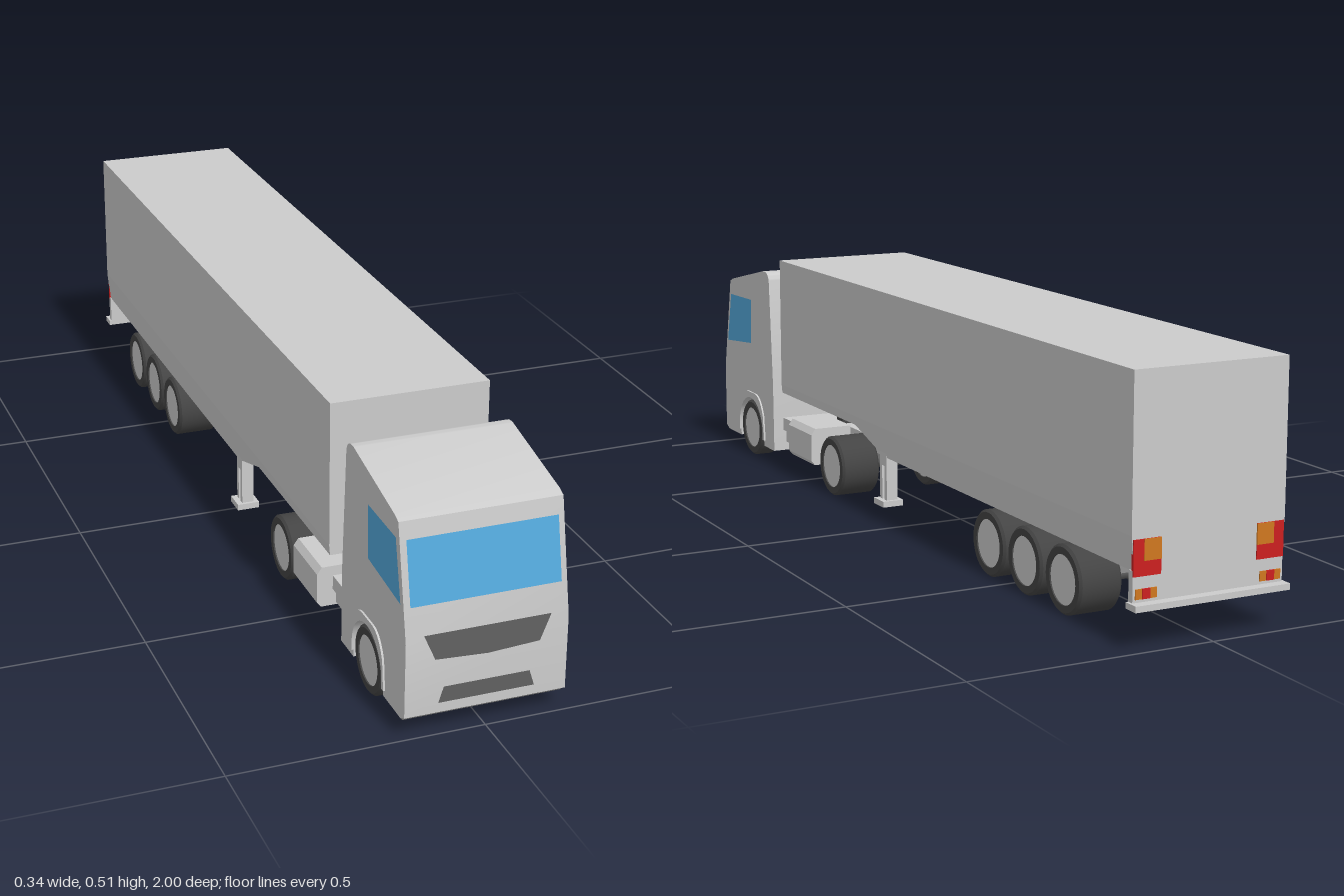
import * as THREE from 'three';
import { toCreasedNormals } from 'three/addons/utils/BufferGeometryUtils.js';

const paint = (color) => new THREE.MeshStandardMaterial({ color, side: THREE.DoubleSide });
const grey = paint(0xcccccc), dark = paint(0x606060), rubber = paint(0x444444);
const glass = paint(0x55aadd), red = paint(0xcc2020), orange = paint(0xd07820);

export function createModel() {
  const truck = new THREE.Group();
  const add = (name, geometry, material = grey, parent = truck) => {
    const mesh = new THREE.Mesh(geometry, material);
    mesh.name = name;
    parent.add(mesh);
    return mesh;
  };
  const group = (name) => {
    const g = new THREE.Group();
    g.name = name;
    truck.add(g);
    return g;
  };
  // Box from its limits on each axis
  const box = (x0, x1, y0, y1, z0, z1) =>
    new THREE.BoxGeometry(x1 - x0, y1 - y0, z1 - z0)
      .translate((x0 + x1) / 2, (y0 + y1) / 2, (z0 + z1) / 2);
  const polygon = (points) => new THREE.Shape(points.map((p) => new THREE.Vector2(...p)));
  // Side profile in (z, y), extruded from x0 to x1
  const across = (shape, x0, x1) =>
    new THREE.ExtrudeGeometry(shape, { depth: x1 - x0, bevelEnabled: false, curveSegments: 12 })
      .rotateY(-Math.PI / 2).translate(x1, 0, 0);
  const sides = [['left', 1], ['right', -1]];
  const span = (s, a, b) => (s > 0 ? [a, b] : [-b, -a]);

  // Cab shell with wheel arch
  const cab = group('cab');
  const shell = new THREE.Shape();
  shell.moveTo(0.68, 0.035);
  shell.lineTo(0.745, 0.035);
  shell.lineTo(0.745, 0.068);
  shell.absarc(0.82, 0.068, 0.075, Math.PI, 0, true);
  shell.lineTo(0.895, 0.035);
  shell.lineTo(0.98, 0.035);
  shell.lineTo(0.997, 0.044);
  shell.lineTo(0.997, 0.195);
  shell.lineTo(0.952, 0.418);
  shell.lineTo(0.935, 0.425);
  shell.lineTo(0.735, 0.468);
  shell.quadraticCurveTo(0.702, 0.472, 0.698, 0.445);
  shell.lineTo(0.682, 0.2);
  add('cabShell', toCreasedNormals(across(shell, -0.16, 0.16), 0.5), grey, cab);
  add('cabFloor', box(-0.11, 0.11, 0.036, 0.15, 0.74, 0.9), dark, cab);
  add('frontSill', box(-0.159, 0.159, 0.034, 0.042, 0.9, 0.985), dark, cab);

  // Panels that follow the slope of the cab face
  const frontPanel = (name, points, material) => {
    const geometry = new THREE.ShapeGeometry(polygon(points));
    const pos = geometry.attributes.position;
    for (let i = 0; i < pos.count; i++) {
      pos.setZ(i, 0.9995 - Math.max(0, pos.getY(i) - 0.195) * 0.2018);
    }
    geometry.computeVertexNormals();
    add(name, geometry, material, cab);
  };
  frontPanel('windscreen', [[-0.148, 0.262], [0.148, 0.262], [0.148, 0.385], [-0.148, 0.385]], glass);
  frontPanel('upperGrille',
    [[-0.103, 0.156], [0, 0.15], [0.103, 0.156], [0.125, 0.207], [-0.125, 0.207]], dark);
  frontPanel('lowerGrille', [[-0.095, 0.065], [0.095, 0.065], [0.085, 0.097], [-0.085, 0.097]], dark);

  // Side windows and wheel arch flares
  const windowShape = polygon([[0.972, 0.265], [0.817, 0.28], [0.813, 0.388], [0.945, 0.385]]);
  const flare = new THREE.Shape();
  flare.moveTo(0.735, 0.05);
  flare.lineTo(0.745, 0.05);
  flare.lineTo(0.745, 0.068);
  flare.absarc(0.82, 0.068, 0.075, Math.PI, 0, true);
  flare.lineTo(0.895, 0.05);
  flare.lineTo(0.905, 0.05);
  flare.lineTo(0.898, 0.11);
  flare.quadraticCurveTo(0.88, 0.156, 0.845, 0.157);
  flare.lineTo(0.795, 0.157);
  flare.quadraticCurveTo(0.76, 0.156, 0.742, 0.11);
  for (const [side, s] of sides) {
    add(side + 'Window', new THREE.ShapeGeometry(windowShape)
      .rotateY(-Math.PI / 2).translate(s * 0.1615, 0, 0), glass, cab);
    add(side + 'ArchFlare', toCreasedNormals(across(flare, ...span(s, 0.155, 0.164)), 0.5), grey, cab);
  }

  // Tractor frame, deck and coupling
  const chassis = group('tractorChassis');
  add('frame', across(polygon([[0.7, 0.06], [0.7, 0.115], [0.56, 0.115], [0.46, 0.132],
    [0.33, 0.132], [0.24, 0.122], [0.24, 0.105], [0.3, 0.095], [0.42, 0.06]]), -0.068, 0.068), grey, chassis);
  add('deckUpper', box(-0.135, 0.135, 0.085, 0.115, 0.56, 0.69), grey, chassis);
  add('deckLower', box(-0.128, 0.128, 0.055, 0.085, 0.56, 0.69), grey, chassis);
  add('couplingStem', box(-0.05, 0.05, 0.12, 0.17, 0.52, 0.552), rubber, chassis);
  add('couplingPlate', box(-0.08, 0.08, 0.164, 0.19, 0.468, 0.6), rubber, chassis);

  // Side tanks with chamfered edges
  const tankSection = polygon([[0.068, 0.05], [0.16, 0.05], [0.168, 0.06], [0.168, 0.122],
    [0.158, 0.136], [0.068, 0.136]]);
  const tank = new THREE.ExtrudeGeometry(tankSection, { depth: 0.135, bevelEnabled: false })
    .translate(0, 0, 0.432);
  for (const [side, s] of sides) add(side + 'Tank', tank, grey, chassis).scale.x = s;

  // Trailer box above a skirt that narrows downwards
  const trailer = group('trailer');
  add('cargoBox', box(-0.163, 0.163, 0.21, 0.508, -0.98, 0.62), grey, trailer);
  const skirt = across(polygon([[-0.98, 0.145], [0.06, 0.145], [0.2, 0.19], [0.62, 0.19],
    [0.62, 0.21], [-0.98, 0.21]]), -0.163, 0.163);
  const pos = skirt.attributes.position;
  for (let i = 0; i < pos.count; i++) pos.setX(i, pos.getX(i) * (1 - (0.21 - pos.getY(i)) * 0.55));
  skirt.computeVertexNormals();
  add('skirt', skirt, grey, trailer);
  add('bogieFrame', across(polygon([[-0.32, 0.146], [-0.385, 0.07], [-0.75, 0.07], [-0.8, 0.146]]),
    -0.068, 0.068), grey, trailer);

  // Rear bumper and lamps
  add('bumperPlate', box(-0.16, 0.16, 0.08, 0.146, -0.98, -0.966), grey, trailer);
  add('bumperLip', box(-0.165, 0.165, 0.075, 0.087, -1, -0.966), grey, trailer);
  for (const [side, s] of sides) {
    const lamp = (name, x0, x1, y0, y1, depth, material) =>
      add(side + name, box(...span(s, x0, x1), y0, y1, -0.98 - depth, -0.975), material, trailer);
    lamp('TailLamp', 0.102, 0.16, 0.135, 0.203, 0.002, red);
    lamp('TurnLamp', 0.102, 0.138, 0.163, 0.203, 0.003, orange);
    lamp('LowerTurnLamp', 0.11, 0.155, 0.093, 0.112, 0.002, orange);
    lamp('LowerTailLamp', 0.124, 0.141, 0.093, 0.112, 0.003, red);

    // Landing legs
    const leg = (name, x0, x1, y0, y1, z0, z1) =>
      add(side + name, box(...span(s, x0, x1), y0, y1, z0, z1), grey, trailer);
    leg('LegFrontRail', 0.132, 0.158, 0.05, 0.15, 0.066, 0.077);
    leg('LegBackRail', 0.132, 0.158, 0.05, 0.15, 0.043, 0.054);
    leg('LegCore', 0.138, 0.152, 0.05, 0.125, 0.05, 0.07);
    leg('LegTop', 0.132, 0.158, 0.125, 0.16, 0.043, 0.077);
    leg('LegFoot', 0.122, 0.17, 0.037, 0.05, 0.036, 0.084);
  }

  // Wheels and axles: [name, z, inner x]
  const axles = [['front', 0.82, 0.115], ['drive', 0.335, 0.07], ['trailerFirst', -0.435, 0.07],
    ['trailerSecond', -0.583, 0.07], ['trailerThird', -0.732, 0.07]];
  for (const [name, z, inner] of axles) {
    const wheels = group(name + 'Wheels');
    wheels.position.set(0, 0.068, z);
    const h = (0.161 - inner) / 2;
    const profile = [[0.049, -h + 0.01], [0.049, -h], [0.063, -h], [0.068, -h + 0.005],
      [0.068, h - 0.005], [0.063, h], [0.049, h], [0.049, h - 0.01]];
    const tyre = toCreasedNormals(
      new THREE.LatheGeometry(profile.map((p) => new THREE.Vector2(...p)), 32), 0.5).rotateZ(-Math.PI / 2);
    const rim = new THREE.CylinderGeometry(0.05, 0.05, 2 * h - 0.006, 32).rotateZ(-Math.PI / 2);
    for (const [side, s] of sides) {
      add(side + 'Tyre', tyre, rubber, wheels).position.x = s * (inner + h);
      add(side + 'Rim', rim, grey, wheels).position.x = s * (inner + h);
    }
    add('axle', new THREE.CylinderGeometry(0.015, 0.015, 0.26, 12).rotateZ(Math.PI / 2), dark, wheels);
  }
  return truck;
}
